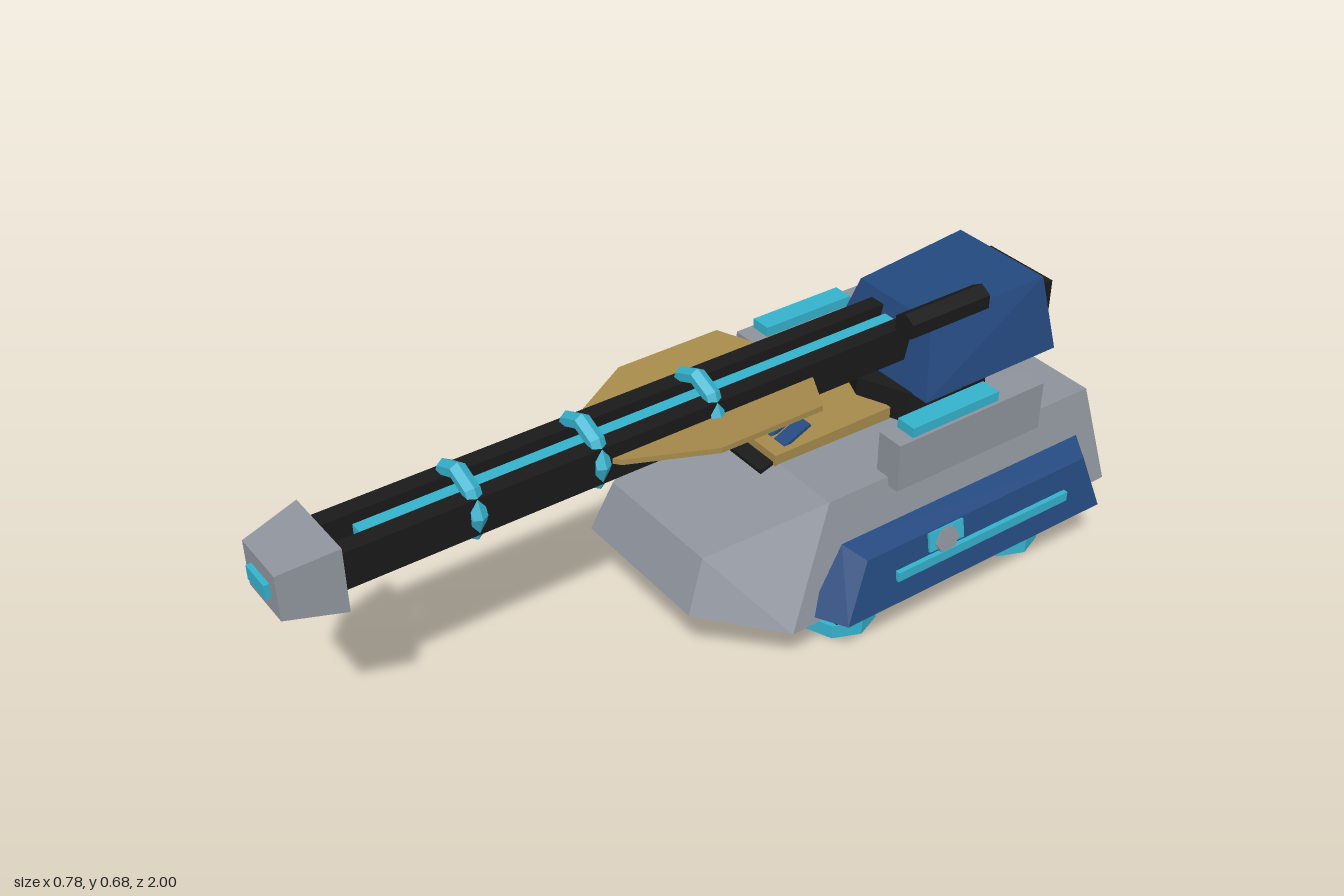
import * as THREE from 'three';
import { ConvexGeometry } from 'three/addons/geometries/ConvexGeometry.js';

const paint = (name, color) => {
  const m = new THREE.MeshStandardMaterial({ color, flatShading: true });
  m.name = name;
  return m;
};

export function createModel() {
  const grey = paint('armour grey', 0x8e939c);
  const blue = paint('navy blue', 0x24497f);
  const teal = paint('glow teal', 0x35b1cc);
  const gold = paint('dull gold', 0xa68a4b);
  const black = paint('black', 0x1a1a1b);

  const model = new THREE.Group();
  model.name = 'hoverTank';

  const add = (name, geometry, material, x = 0, y = 0, z = 0) => {
    const mesh = new THREE.Mesh(geometry, material);
    mesh.name = name;
    mesh.position.set(x, y, z);
    model.add(mesh);
    return mesh;
  };
  // box given by its limits
  const box = (name, mat, x0, x1, y0, y1, z0, z1) =>
    add(name, new THREE.BoxGeometry(x1 - x0, y1 - y0, z1 - z0), mat,
      (x0 + x1) / 2, (y0 + y1) / 2, (z0 + z1) / 2);
  // faceted solid from corner points
  const solid = (name, mat, pts) =>
    add(name, new ConvexGeometry(pts.map(p => new THREE.Vector3(...p))), mat);
  // faceted solid symmetric about x = 0
  const mirrored = (name, mat, pts) =>
    solid(name, mat, pts.flatMap(([x, y, z]) => [[x, y, z], [-x, y, z]]));

  // hull
  mirrored('hull', grey, [
    [0.31, 0.135, -1], [0.25, 0.37, -0.965],
    [0.325, 0.13, -0.04], [0.26, 0.385, -0.18],
    [0.19, 0.18, 0.14], [0.17, 0.3, 0.09],
  ]);
  // chassis under the hull
  mirrored('chassis', black, [
    [0.34, 0.112, -0.15], [0.34, 0.112, -0.89],
    [0.26, 0.028, -0.225], [0.26, 0.028, -0.825],
  ]);

  for (const s of [1, -1]) {
    // hover pads
    for (const z of [-0.265, -0.775])
      add('hoverPad', new THREE.CylinderGeometry(0.092, 0.092, 0.035, 8), teal, s * 0.205, 0.0175, z);

    // side skirt with light strip and badge
    solid('sideSkirt', blue, [
      [0.307, 0.145, -0.095], [0.307, 0.302, -0.18], [0.307, 0.302, -0.885], [0.307, 0.145, -0.94],
      [0.39, 0.145, -0.14], [0.365, 0.282, -0.205], [0.365, 0.282, -0.855], [0.39, 0.145, -0.9],
    ].map(([x, y, z]) => [s * x, y, z]));
    const a = s * 0.365, b = s * 0.387;
    box('skirtLight', teal, Math.min(a, b), Math.max(a, b), 0.202, 0.226, -0.79, -0.28);
    const badge = box('badgePlate', teal, s * 0.372 - 0.004, s * 0.372 + 0.004, 0.234, 0.28, -0.475, -0.375);
    badge.rotation.z = s * 0.18;
    const disc = add('badgeDisc', new THREE.CylinderGeometry(0.034, 0.034, 0.009, 6), grey, s * 0.376, 0.249, -0.425);
    disc.rotation.z = Math.PI / 2 + s * 0.18;

    // deck pods
    const c = s * 0.256;
    box('deckPod', grey, c - 0.034, c + 0.034, 0.36, 0.48, -0.77, -0.345);
    box('podLight', teal, c - 0.026, c + 0.026, 0.48, 0.504, -0.638, -0.388);

    // barrel rails
    box('barrelRail', black, s * 0.0515 - 0.0205, s * 0.0515 + 0.0205, 0.515, 0.602, -0.65, 0.87);

    // barrel fins, rising slightly outwards
    const outline = [[0.065, 0.25], [0.09, 0.235], [0.188, 0.055], [0.188, -0.21], [0.075, -0.275], [0.065, -0.275]];
    solid('barrelFin', gold, outline.flatMap(([x, z]) => {
      const y = 0.555 + (x - 0.065) * 0.12;
      return [[s * x, y, z], [s * x, y + 0.013, z]];
    }));
  }

  // front deck bay
  box('deckPlate', gold, -0.085, 0.085, 0.375, 0.41, -0.5, -0.17);
  const hatch = box('frontHatch', black, -0.077, 0.077, 0.368, 0.391, -0.215, -0.135);
  hatch.rotation.x = 0.2;
  for (const x of [-0.048, 0, 0.048]) {
    const flap = add('bayFlap', new THREE.BoxGeometry(0.038, 0.008, 0.09), blue, x, 0.42, -0.24);
    flap.rotation.x = 0.42;
  }

  // rear trim: thin lens on the sloping back plate
  const lens = new THREE.Shape();
  lens.moveTo(-0.19, 0);
  lens.quadraticCurveTo(0, 0.024, 0.19, 0);
  lens.quadraticCurveTo(0, -0.024, -0.19, 0);
  const trim = add('rearTrim',
    new THREE.ExtrudeGeometry(lens, { depth: 0.008, bevelEnabled: false, curveSegments: 8 }),
    gold, 0, 0.275, -0.984);
  trim.rotation.x = 0.148;

  // turret ring, turret and rear vent
  add('turretRing', new THREE.CylinderGeometry(0.17, 0.17, 0.085, 8), black, 0, 0.4145, -0.64);
  mirrored('turret', blue, [
    [0.17, 0.455, -0.528], [0.168, 0.455, -0.928],
    [0.12, 0.626, -0.57], [0.138, 0.642, -0.893],
  ]);
  box('rearVent', black, -0.103, 0.103, 0.46, 0.592, -0.965, -0.85);
  box('ventLight', teal, -0.085, 0.085, 0.55, 0.575, -0.98, -0.96);

  // sight on top of the turret
  const sight = add('sight', new THREE.CylinderGeometry(0.033, 0.033, 0.226, 6), black, 0.12, 0.642, -0.603);
  sight.rotation.x = Math.PI / 2;

  // barrel core, rings and muzzle
  box('barrelSpine', black, -0.034, 0.034, 0.495, 0.55, -0.6, 0.78);
  box('barrelCore', teal, -0.02, 0.02, 0.545, 0.585, -0.6, 0.785);
  for (const z of [0.56, 0.27, -0.02])
    add('barrelRing', new THREE.TorusGeometry(0.069, 0.02, 6, 8), teal, 0, 0.56, z);
  mirrored('muzzle', grey, [
    [0.094, 0.48, 0.86], [0.094, 0.632, 0.86],
    [0.068, 0.502, 0.988], [0.068, 0.608, 0.988],
  ]);
  box('muzzleLight', teal, -0.039, 0.039, 0.539, 0.573, 0.98, 1);

  return model;
}
